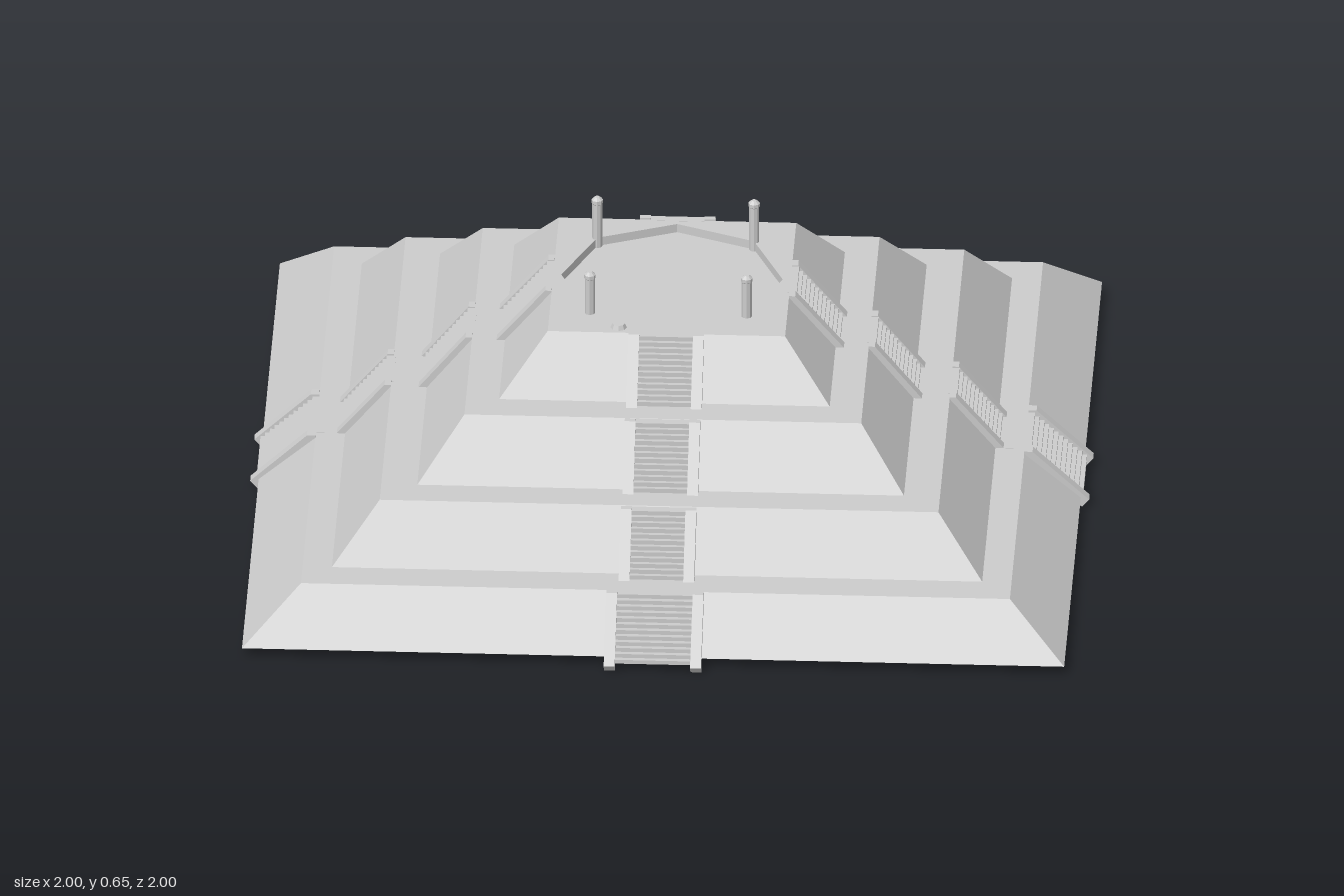
import * as THREE from 'three';

const material = new THREE.MeshStandardMaterial({ color: 0xcccccc, flatShading: true, side: THREE.DoubleSide });

function addMesh(parent, name, geometry, x = 0, y = 0, z = 0) {
  const mesh = new THREE.Mesh(geometry, material);
  mesh.name = name;
  mesh.position.set(x, y, z);
  parent.add(mesh);
  return mesh;
}

// Each tier: heights, half sizes [x, z] at the bottom and top, and its stair dimensions
const tiers = [
  { y0: 0.025, y1: 0.14, bottom: [0.98, 0.96], top: [0.845, 0.84], inner: 0.09, outer: 0.116,
    stair: { y0: 0.02, rIn: 0.74, r0: 0.985, r1: 0.85 },
    wall: [[1.0, 0.02], [0.983, 0], [0.845, 0.12], [0.845, 0.146], [0.865, 0.146]] },
  { y0: 0.14, y1: 0.27, bottom: [0.775, 0.757], top: [0.666, 0.655], inner: 0.064, outer: 0.09 },
  { y0: 0.27, y1: 0.403, bottom: [0.58, 0.576], top: [0.473, 0.465], inner: 0.064, outer: 0.09 },
  { y0: 0.403, y1: 0.535, bottom: [0.394, 0.385], top: [0.283, 0.283], inner: 0.064, outer: 0.09, capless: true },
];

// Sloped shell without a floor, made from a tapered box
function tierGeometry({ y0, y1, bottom, top, capless }) {
  const geometry = new THREE.BoxGeometry(2, 2, 2);
  const p = geometry.attributes.position;
  for (let i = 0; i < p.count; i++) {
    const isTop = p.getY(i) > 0;
    const [hx, hz] = isTop ? top : bottom;
    p.setXYZ(i, p.getX(i) * hx, isTop ? y1 : y0, p.getZ(i) * hz);
  }
  const index = Array.from(geometry.index.array);
  index.splice(capless ? 12 : 18, capless ? 12 : 6);
  geometry.setIndex(index);
  geometry.clearGroups();
  geometry.computeVertexNormals();
  return geometry;
}

// Extrudes a radius/height profile across the width of a stairway
function profileGeometry(points, z0, z1) {
  const shape = new THREE.Shape(points.map(([r, y]) => new THREE.Vector2(r, y)));
  return new THREE.ExtrudeGeometry(shape, { depth: z1 - z0, bevelEnabled: false }).translate(0, 0, z0);
}

function stepProfile({ y0, rIn, r0, r1 }, y1, count = 12) {
  const points = [[rIn, y0], [r0, y0]];
  for (let i = 0; i < count; i++) {
    const y = y0 + (y1 - y0) * (i + 1) / count;
    points.push([r0 + (r1 - r0) * i / count, y], [r0 + (r1 - r0) * (i + 1) / count, y]);
  }
  points.push([rIn, y1]);
  return points;
}

// One stairway climbing all tiers, facing +x
function createStairway() {
  const stairway = new THREE.Group();
  for (const { y0, y1, bottom, top, inner, outer, stair, wall } of tiers) {
    const b = bottom[0], t = top[0];
    const steps = stair ?? { y0, rIn: t - 0.005, r0: b + 0.01, r1: t + 0.008 };
    addMesh(stairway, 'steps', profileGeometry(stepProfile(steps, y1 + 0.0005), -inner, inner));
    const rail = wall ?? [[b + 0.02, y0], [t, y0], [t, y1 + 0.004], [t + 0.015, y1 + 0.004]];
    addMesh(stairway, 'leftStairWall', profileGeometry(rail, -outer, -inner));
    addMesh(stairway, 'rightStairWall', profileGeometry(rail, inner, outer));
  }
  return stairway;
}

export function createModel() {
  const model = new THREE.Group();
  model.name = 'steppedPyramid';

  tiers.forEach((tier, i) => addMesh(model, `tier${i + 1}`, tierGeometry(tier)));

  // Stairways on all four sides
  for (let i = 0; i < 4; i++) {
    const stairway = createStairway();
    stairway.name = `stairway${i + 1}`;
    stairway.rotation.y = i * Math.PI / 2;
    model.add(stairway);
  }

  // Summit platform with a shallow octagonal pit
  const topY = 0.535, half = 0.283, pitRadius = 0.264, pitDepth = 0.022;
  const platform = new THREE.Shape([[-1, -1], [1, -1], [1, 1], [-1, 1]]
    .map(([x, y]) => new THREE.Vector2(x * half, y * half)));
  const ring = Array.from({ length: 8 }, (_, i) =>
    new THREE.Vector2(Math.cos(i * Math.PI / 4), Math.sin(i * Math.PI / 4)).multiplyScalar(pitRadius));
  platform.holes.push(new THREE.Path(ring));
  addMesh(model, 'platformRim', new THREE.ShapeGeometry(platform).rotateX(-Math.PI / 2), 0, topY, 0);
  addMesh(model, 'pitWall', new THREE.CylinderGeometry(pitRadius, pitRadius, pitDepth, 8, 1, true), 0, topY - pitDepth / 2, 0);
  addMesh(model, 'pitFloor', new THREE.CircleGeometry(pitRadius, 8).rotateX(-Math.PI / 2), 0, topY - pitDepth, 0);

  // Posts at the four diagonal corners of the pit
  const post = new THREE.LatheGeometry([[0, 0], [0.012, 0], [0.012, 0.115], [0.014, 0.117], [0.014, 0.126], [0.006, 0.133], [0, 0.133]]
    .map(([r, y]) => new THREE.Vector2(r, y)), 8);
  for (const x of [-1, 1]) {
    for (const z of [-1, 1]) addMesh(model, 'post', post, x * 0.187, topY - pitDepth, z * 0.187);
  }

  // Small round stone on the front rim
  addMesh(model, 'rimStone', new THREE.CylinderGeometry(0.015, 0.02, 0.012, 8), -0.115, topY + 0.005, 0.256);

  return model;
}
